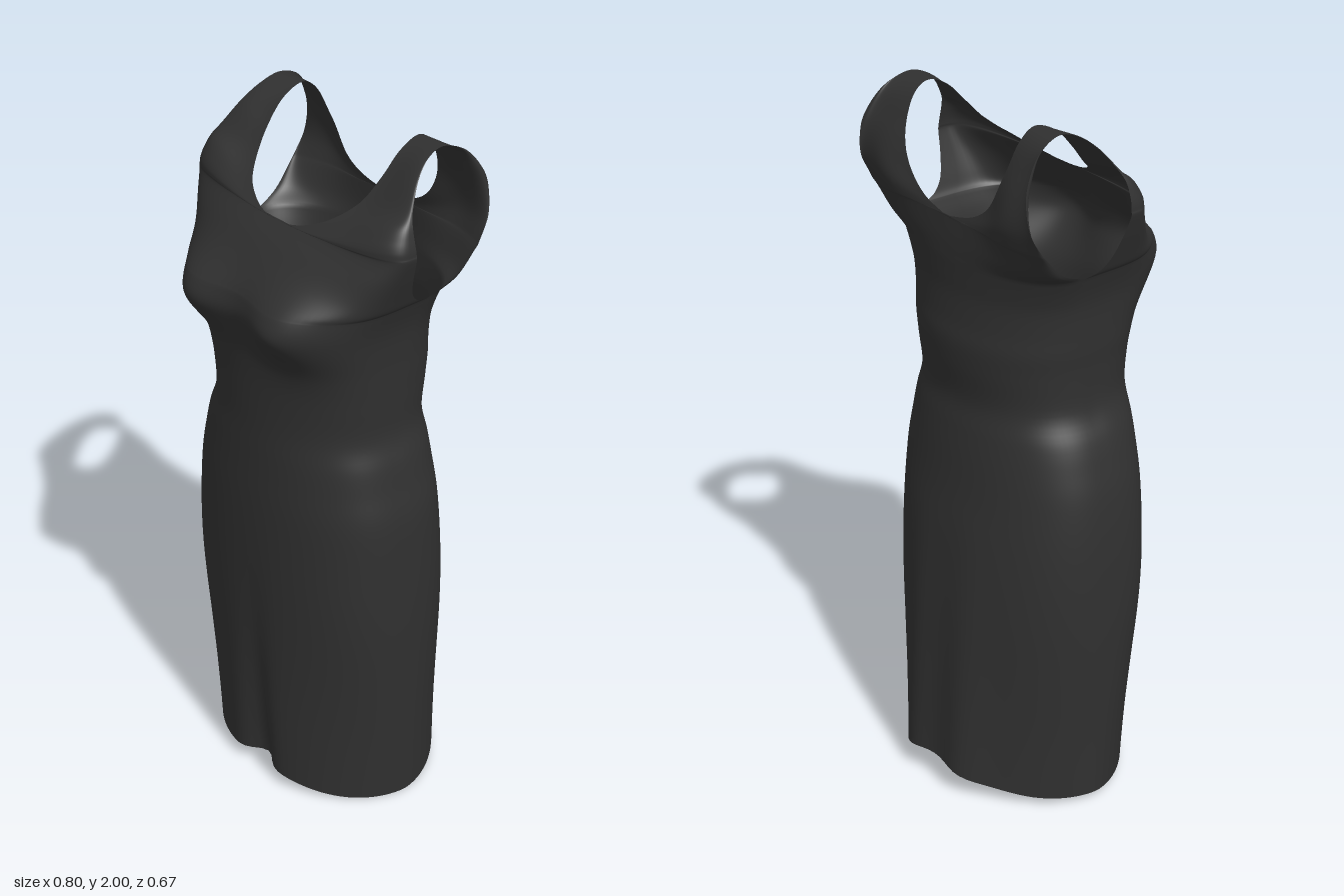
import * as THREE from 'three';
import { mergeGeometries, mergeVertices } from 'three/addons/utils/BufferGeometryUtils.js';

const ACROSS = 26;
const { clamp, lerp, smoothstep } = THREE.MathUtils;
const gauss = (d, w) => Math.exp(-(d / w) * (d / w));
const pair = (x, at, w) => gauss(x - at, w) + gauss(x + at, w);
const curve = (pts) => new THREE.CatmullRomCurve3(pts.map((p) => new THREE.Vector3(...p)), false, 'catmullrom', 0.5);

// Roundness of the cross-section: full at the chest, tapering in at the hem
function roundness(y, rear) {
  const taper = 1 - smoothstep(y, 0, 0.75);
  return lerp(0.7 + 0.5 * taper - 0.25 * smoothstep(y, 1.2, 1.52), 0.85 + 0.35 * taper, rear);
}

// Bust, shoulder blades and soft skirt folds, pushed out of the plain cross-section
function relief(x, y, z) {
  const low = Math.max(0, 1 - y / 0.9);
  const front = clamp(z / 0.12, 0, 1), rear = clamp((-z - 0.08) / 0.08, 0, 1);
  const bust = 0.07 * pair(x, 0.17, 0.12) * gauss(y - 1.55, 0.1);
  const pleat = 0.055 * gauss(x, 0.05) * low * low;
  const blades = 0.025 * pair(x, 0.24, 0.08) * gauss(y - 1.82, 0.12);
  const folds = 0.03 * (gauss(x + 0.13, 0.07) + gauss(x - 0.07, 0.07)) * low;
  return z + front * (bust - pleat) - rear * (blades + folds);
}

// Curved cloth strip between an inner edge (centre line) and an outer edge (side);
// rear gives how far the first and last rows belong to the back
function strip(inner, outer, rows, rear, flip) {
  const pos = [], index = [];
  for (let i = 0; i <= rows; i++) {
    const p = inner.getPoint(i / rows), q = outer.getPoint(i / rows);
    const e = roundness(p.y, lerp(rear[0], rear[1], i / rows));
    const arch = (x) => Math.pow(Math.max(0, 1 - (x / q.x) ** 2), e / 2);
    for (let j = 0; j <= ACROSS; j++) {
      const s = j === ACROSS ? 1 : Math.sin((j / ACROSS) * Math.PI / 2);
      const x = s === 1 ? q.x : lerp(p.x, q.x, s);
      const y = lerp(p.y, q.y, smoothstep(s, 0, 1));
      const z = q.z + (p.z - q.z) * arch(x) / arch(p.x);
      pos.push(x, y, relief(x, y, z));
      if (i < rows && j < ACROSS) {
        const k = i * (ACROSS + 1) + j, n = k + ACROSS + 1;
        if (flip) index.push(k, n, k + 1, k + 1, n, n + 1);
        else index.push(k, k + 1, n, k + 1, n + 1, n);
      }
    }
  }
  const g = new THREE.BufferGeometry();
  g.setAttribute('position', new THREE.Float32BufferAttribute(pos, 3));
  g.setIndex(index);
  return g;
}

export function createModel() {
  const cloth = new THREE.MeshStandardMaterial({ color: 0x303030, side: THREE.DoubleSide });
  cloth.name = 'charcoal cloth';

  // Body levels: height, left x, right x, front z, back z, side z
  const levels = [
    [0.01, 0.34, -0.38, 0.265, -0.315, -0.015], [0.2, 0.345, -0.385, 0.268, -0.31, -0.01],
    [0.4, 0.35, -0.392, 0.268, -0.302, -0.005], [0.6, 0.355, -0.397, 0.268, -0.292, 0],
    [0.8, 0.355, -0.393, 0.268, -0.275, 0], [0.95, 0.35, -0.378, 0.267, -0.255, 0],
    [1.05, 0.33, -0.355, 0.264, -0.243, 0], [1.12, 0.315, -0.333, 0.262, -0.233, 0],
    [1.2, 0.292, -0.298, 0.26, -0.222, 0], [1.3, 0.294, -0.295, 0.261, -0.235, 0],
    [1.37, 0.297, -0.3, 0.263, -0.24, -0.005], [1.43, 0.3, -0.302, 0.266, -0.234, -0.01],
    [1.5, 0.307, -0.307, 0.276, -0.23, -0.02], [1.55, 0.318, -0.318, 0.284, -0.232, -0.035],
    [1.6, 0.335, -0.335, 0.28, -0.235, -0.05],
  ];
  // The hem rises at the centre front and back
  const hem = (y, lift) => (y < 0.1 ? y + lift : y);
  const left = curve(levels.map((l) => [l[1], hem(l[0], -0.01), l[5]]));
  const right = curve(levels.map((l) => [l[2], hem(l[0], 0.01), l[5]]));
  const front = curve(levels.map((l) => [0, hem(l[0], 0.045), l[3]]));
  const back = curve(levels.map((l) => [0, hem(l[0], 0.08), l[4]]));

  // Armhole edge, from underarm up the front, over the shoulder and down the back
  const armhole = [
    [0.335, 1.6, -0.05], [0.345, 1.615, -0.01], [0.358, 1.65, 0.02], [0.38, 1.71, 0.038],
    [0.398, 1.765, 0.046], [0.398, 1.78, 0.047], [0.396, 1.797, 0.048], [0.39, 1.82, 0.048],
    [0.38, 1.85, 0.045], [0.365, 1.88, 0.033], [0.337, 1.94, -0.01], [0.318, 1.98, -0.06],
    [0.312, 1.995, -0.12], [0.322, 1.965, -0.19], [0.338, 1.9, -0.236], [0.347, 1.84, -0.247],
    [0.355, 1.775, -0.24], [0.358, 1.72, -0.21], [0.357, 1.695, -0.19], [0.348, 1.635, -0.13],
    [0.335, 1.6, -0.05],
  ];
  // Centre line and neckline, following the same rows
  const neck = [
    [0, 1.6, 0.28], [0, 1.63, 0.267], [0, 1.68, 0.238], [0, 1.73, 0.2],
    [0, 1.768, 0.16], [0, 1.768, 0.16], [0.05, 1.772, 0.157], [0.1, 1.785, 0.142],
    [0.155, 1.812, 0.11], [0.198, 1.855, 0.055], [0.217, 1.915, 0], [0.221, 1.97, -0.055],
    [0.22, 1.995, -0.12], [0.218, 1.96, -0.165], [0.205, 1.88, -0.19], [0.165, 1.79, -0.21],
    [0.1, 1.74, -0.225], [0, 1.715, -0.232], [0, 1.715, -0.232], [0, 1.655, -0.235],
    [0, 1.6, -0.235],
  ];
  const mirror = (pts) => pts.map(([x, y, z]) => [-x, y, z]);

  const parts = [
    strip(front, left, 70, [0, 0], false), strip(front, right, 70, [0, 0], true),
    strip(back, left, 70, [1, 1], true), strip(back, right, 70, [1, 1], false),
    strip(curve(neck), curve(armhole), 120, [0, 1], false),
    strip(curve(mirror(neck)), curve(mirror(armhole)), 120, [0, 1], true),
  ];
  // Weld the panels so the shading runs smoothly across the seams
  const geometry = mergeVertices(mergeGeometries(parts), 1e-4);
  geometry.computeVertexNormals();

  const dress = new THREE.Mesh(geometry, cloth);
  dress.name = 'sleeveless dress';
  const group = new THREE.Group();
  group.name = 'dress';
  group.add(dress);
  return group;
}
